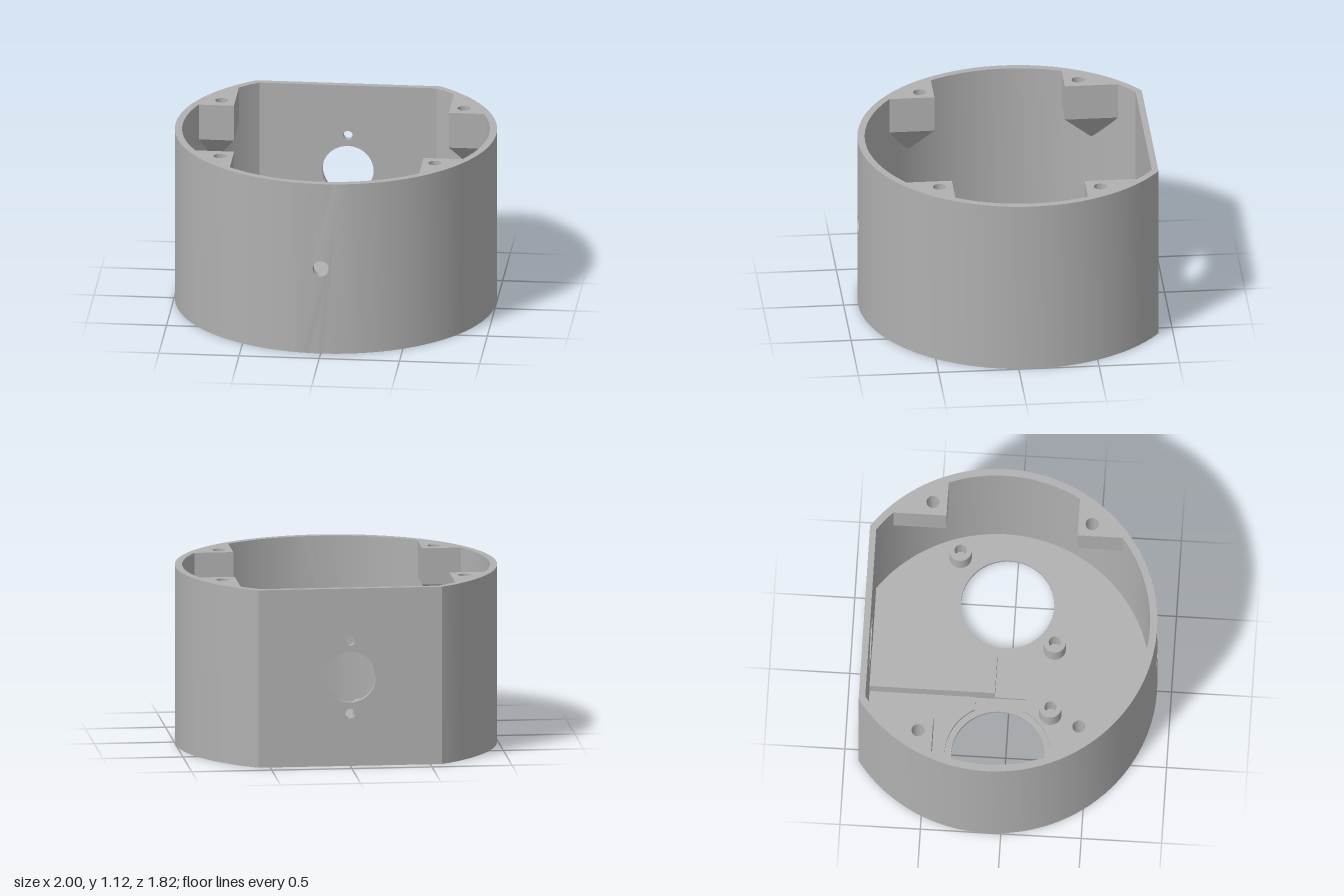
import * as THREE from 'three';
import { mergeGeometries, toCreasedNormals } from 'three/addons/utils/BufferGeometryUtils.js';
import { ConvexGeometry } from 'three/addons/geometries/ConvexGeometry.js';

const H = 1.12, R = 1, RI = 0.955;      // height, outer and inner radius
const FLAT = 0.82, FLAT_IN = 0.78;      // flat back wall, outside and inside
const PANEL = 0.12;                     // half angle of the drilled front panel

const V = (x, y) => new THREE.Vector2(x, y);

function arc(cx, cy, r, a0, a1, n = 48) {
  return Array.from({ length: n + 1 }, (_, i) => {
    const a = a0 + (a1 - a0) * i / n;
    return V(cx + r * Math.cos(a), cy + r * Math.sin(a));
  });
}
const circle = (x, y, r, n = 48) => arc(x, y, r, 0, Math.PI * 2 * (1 - 1 / n), n - 1);
const mirror = (pts, s) => pts.map(p => V(p.x * s, p.y));

function extrude(pts, holes, depth) {
  const shape = new THREE.Shape(pts);
  shape.holes = holes.map(h => new THREE.Path(h));
  return new THREE.ExtrudeGeometry(shape, { depth, bevelEnabled: false });
}
// Plan outline (x, -z) raised from y0 to y1
const slab = (pts, holes, y0, y1) =>
  extrude(pts, holes, y1 - y0).rotateX(-Math.PI / 2).translate(0, y0, 0);

// Side wall: two arcs joined by a small bent panel with a round hole
function sideWall() {
  const endOut = Math.asin(FLAT), endIn = Math.asin(FLAT_IN / RI);
  const front = -Math.PI / 2 + PANEL;
  const xIn = RI * Math.cos(endIn);
  const half = [
    ...arc(0, 0, R, endOut, front, 56),
    ...arc(0, 0, RI, front, endIn, 56),
    V(xIn, FLAT),
  ];
  const w = Math.sin(PANEL), edge = [];
  for (let i = 0; i <= 8; i++) edge.push(V(-w + 2 * w * i / 8, 0));
  const outline = [...edge, ...edge.map(p => V(-p.x, H))];
  const panel = extrude(outline, [circle(0, 0.56, 0.05, 32)], 1);
  const p = panel.attributes.position;
  for (let i = 0; i < p.count; i++) {
    const a = Math.asin(p.getX(i)), r = p.getZ(i) > 0.5 ? R : RI;
    p.setXYZ(i, r * Math.sin(a), p.getY(i), r * Math.cos(a));
  }
  return mergeGeometries([slab(half, [], 0, H), slab(mirror(half, -1), [], 0, H), panel]);
}

// Flat back wall with a large opening between two screw holes
function backWall() {
  const x = Math.sqrt(RI * RI - FLAT_IN * FLAT_IN);
  const holes = [circle(0, 0.56, 0.16), circle(0, 0.79, 0.03, 24), circle(0, 0.33, 0.03, 24)];
  return extrude([V(-x, 0), V(x, 0), V(x, H), V(-x, H)], holes, FLAT - FLAT_IN)
    .translate(0, 0, -FLAT);
}

// Pocket around a floor opening, with a notch towards the centre
function pocket(s) {
  const r = 0.33, cy = -0.04;
  const pts = [
    V(0.125, 0.12),
    ...arc(0.5, cy, r, Math.PI - Math.asin((0.12 - cy) / r), -Math.PI + Math.asin((cy + 0.19) / r)),
    V(0.125, -0.19),
  ];
  return mirror(pts, s);
}

export function createModel() {
  const model = new THREE.Group();
  model.name = 'roundHousing';
  const grey = new THREE.MeshStandardMaterial({ color: 0xb0b0b0 });
  grey.name = 'plain grey';

  function add(name, geometry) {
    const mesh = new THREE.Mesh(toCreasedNormals(geometry, 0.5), grey);
    mesh.name = name;
    mesh.position.z = -0.09;
    model.add(mesh);
  }

  add('sideWall', sideWall());
  add('backWall', backWall());

  // Floor in three layers: shallow recess below, lip, pocket above
  const a = Math.asin(FLAT_IN / RI);
  const inside = arc(0, 0, RI + 0.003, a, -Math.PI - a, 112);
  const both = f => [1, -1].map(f);
  add('floorRecess', slab(inside, both(s => circle(s * 0.5, -0.04, 0.42, 72)), 0, 0.02));
  add('floorLip', slab(inside, both(s => circle(s * 0.5, -0.04, 0.29, 72)), 0.02, 0.04));
  add('floorPocket', slab(inside, both(pocket), 0.04, 0.06));

  // Raised block from the back wall to the middle of the floor
  add('centreBlock', slab([V(-0.13, 0), V(0.13, 0), V(0.13, 0.785), V(-0.13, 0.785)], [], 0.05, 0.15));

  // Hollow screw posts on the floor
  for (const s of [1, -1]) {
    for (const [x, y] of [[0.785, 0.27], [0.215, -0.35]]) {
      add('screwPost', slab(circle(s * x, y, 0.07, 32), [circle(s * x, y, 0.037, 24)], 0.05, 0.19));
    }
  }

  // Corner lugs under the rim, tapering down to a point on the wall
  const lugs = [
    { corner: [0.67, 0.35], hole: [0.755, 0.44] },
    { corner: [0.59, -0.47], hole: [0.67, -0.555] },
  ];
  const r = RI + 0.004, lugY = H - 0.23;
  for (const s of [1, -1]) {
    for (const { corner: [x, y], hole } of lugs) {
      const a0 = Math.asin(y / r), a1 = Math.sign(y) * Math.acos(x / r);
      const pts = mirror([V(x, y), ...arc(0, 0, r, a0, a1, 12)], s);
      add('lug', slab(pts, [circle(s * hole[0], hole[1], 0.04, 32)], lugY, H));
      const mid = (a0 + a1) / 2;
      const tip = new THREE.Vector3(s * r * Math.cos(mid), 0.7, -r * Math.sin(mid));
      add('lugTaper', new ConvexGeometry([...pts.map(p => new THREE.Vector3(p.x, lugY, -p.y)), tip]));
    }
  }
  return model;
}
